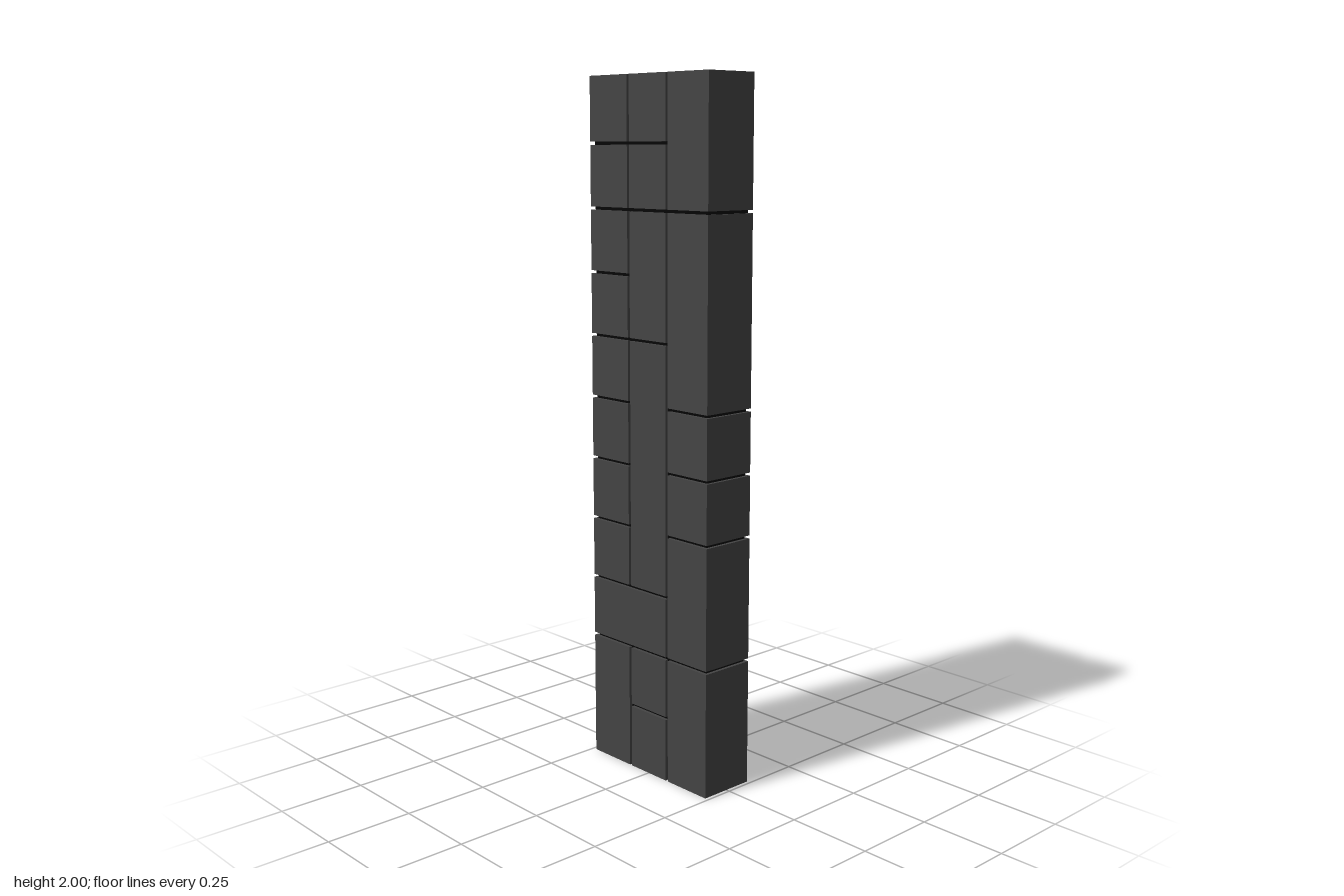
import * as THREE from 'three';

const GAP = 0.009;    // groove between neighbouring blocks
const DEPTH = 0.168;
const RECESS = 0.01;  // how far the dark core sits below the block faces

// Column edges (x) and row edges (y); the first and last rows are slightly taller
const colEdge = [-0.243, -0.078, 0.078, 0.243];
const rowEdge = i => (i === 0 ? -GAP / 2 : i === 11 ? 2 + GAP / 2 : 0.19 + 0.1806 * (i - 1));

const blockMaterial = new THREE.MeshStandardMaterial({ color: 0x444444 });
const coreMaterial = new THREE.MeshStandardMaterial({ color: 0x050505 });

function box(name, material, x0, x1, y0, y1, z0, z1) {
  const mesh = new THREE.Mesh(new THREE.BoxGeometry(x1 - x0, y1 - y0, z1 - z0), material);
  mesh.name = name;
  mesh.position.set((x0 + x1) / 2, (y0 + y1) / 2, (z0 + z1) / 2);
  return mesh;
}

export function createModel() {
  const model = new THREE.Group();
  model.name = 'blockTower';
  const half = DEPTH / 2;

  // Dark core seen in the grooves
  model.add(box('core', coreMaterial, -0.239 + RECESS, 0.239 - RECESS,
    RECESS, 2 - RECESS, -half + RECESS, half - RECESS));

  // A block covers columns c0..c1 and rows r0..r1 (end exclusive)
  const addBlock = (name, c0, c1, r0, r1, z0 = -half, z1 = half) => model.add(box(name, blockMaterial,
    colEdge[c0] + GAP / 2, colEdge[c1] - GAP / 2,
    rowEdge(r0) + GAP / 2, rowEdge(r1) - GAP / 2, z0, z1));

  // Stack of full-depth blocks in one column
  const addStack = (name, col, spans) =>
    spans.forEach(([r0, r1]) => addBlock(name, col, col + 1, r0, r1));

  addStack('rightBlock', 0, [[0, 2], [3, 4], [4, 5], [5, 6], [6, 7], [9, 10], [10, 11]]);
  addStack('middleBlock', 1, [[0, 1], [1, 2], [3, 7], [9, 10], [10, 11]]);
  addStack('leftBlock', 2, [[0, 2], [2, 4], [4, 5], [5, 6], [6, 9], [9, 11]]);

  // Row 2: one wide block in front, two single blocks behind
  addBlock('wideFrontBlock', 0, 2, 2, 3, 0, half);
  addBlock('rightBackBlock', 0, 1, 2, 3, -half, 0);
  addBlock('middleBackBlock', 1, 2, 2, 3, -half, 0);

  // Rows 7 and 8: singles beside a tall block in front, wide blocks behind
  for (const r of [7, 8]) {
    addBlock('rightFrontBlock', 0, 1, r, r + 1, 0, half);
    addBlock('wideBackBlock', 0, 2, r, r + 1, -half, 0);
  }
  addBlock('tallFrontBlock', 1, 2, 7, 9, 0, half);

  return model;
}
